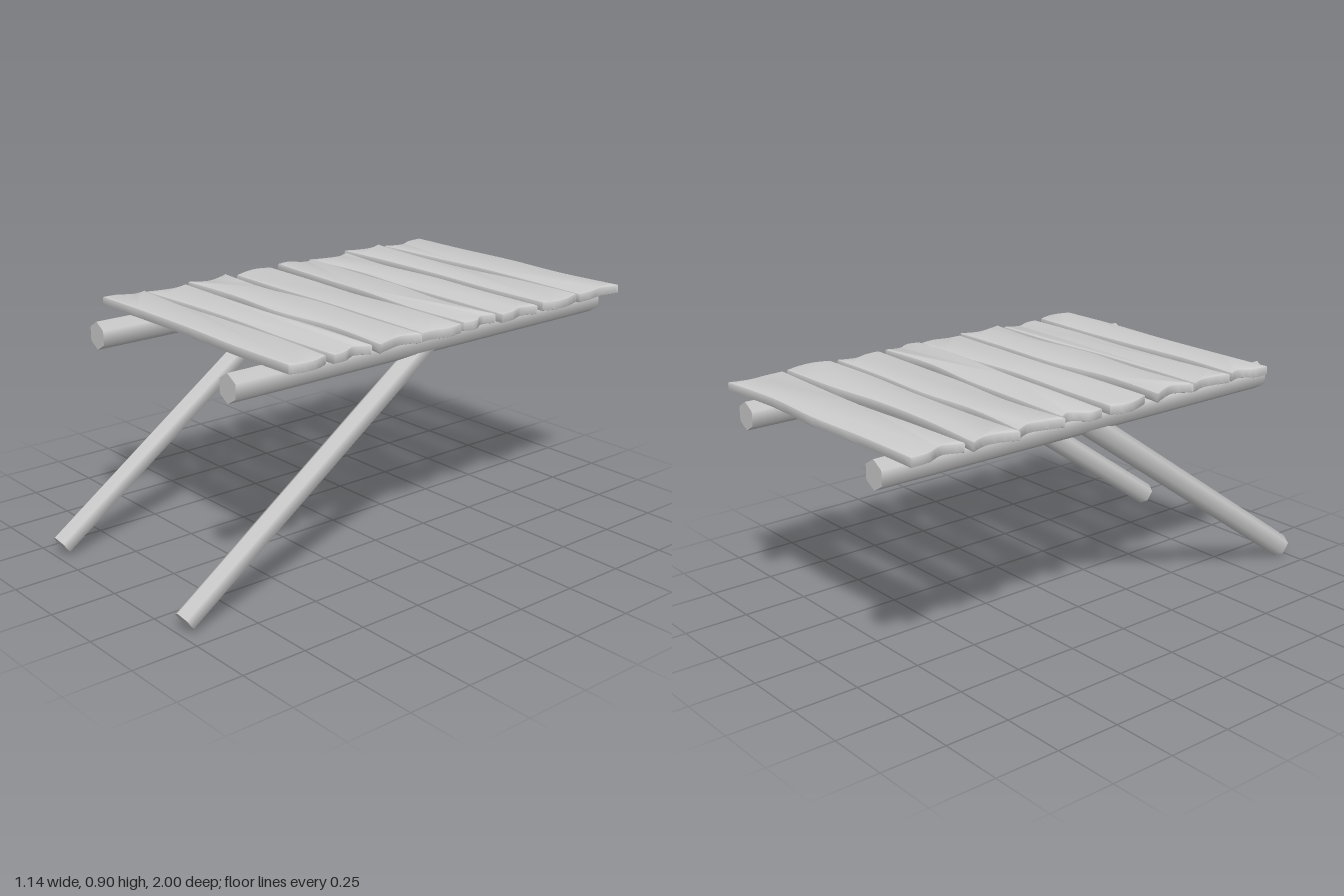
import * as THREE from 'three';
import { toCreasedNormals } from 'three/addons/utils/BufferGeometryUtils.js';

const material = new THREE.MeshStandardMaterial({ color: 0xcccccc });

// Outline of each plank: z along its back and front edges at five stations,
// and x down its left-hand and right-hand ragged ends (back to front).
const planks = [
  { back: [-0.96, -0.96, -0.97, -0.96, -0.98], front: [-0.745, -0.755, -0.77, -0.765, -0.755], low: [-0.55, -0.545, -0.515, -0.54], high: [0.545, 0.53, 0.54, 0.545] },
  { back: [-0.73, -0.71, -0.71, -0.735, -0.74], front: [-0.545, -0.555, -0.555, -0.545, -0.55], low: [-0.565, -0.54, -0.545, -0.57], high: [0.54, 0.56, 0.565, 0.545] },
  { back: [-0.535, -0.51, -0.525, -0.515, -0.515], front: [-0.335, -0.355, -0.335, -0.33, -0.325], low: [-0.55, -0.52, -0.53, -0.55], high: [0.55, 0.53, 0.55, 0.555] },
  { back: [-0.34, -0.33, -0.32, -0.29, -0.3], front: [-0.18, -0.165, -0.155, -0.13, -0.135], low: [-0.54, -0.52, -0.565, -0.56], high: [0.545, 0.53, 0.56, 0.55] },
  { back: [-0.13, -0.125, -0.115, -0.13, -0.125], front: [0.05, 0.055, 0.05, 0.055, 0.06], low: [-0.545, -0.565, -0.555, -0.53], high: [0.55, 0.56, 0.545, 0.545] },
  { back: [0.085, 0.1, 0.07, 0.075, 0.075], front: [0.27, 0.26, 0.275, 0.25, 0.27], low: [-0.56, -0.53, -0.515, -0.55], high: [0.56, 0.535, 0.545, 0.565] },
  { back: [0.29, 0.295, 0.295, 0.28, 0.285], front: [0.47, 0.455, 0.45, 0.46, 0.455], low: [-0.54, -0.52, -0.525, -0.54], high: [0.54, 0.515, 0.54, 0.545] },
  { back: [0.475, 0.49, 0.48, 0.475, 0.485], front: [0.645, 0.64, 0.64, 0.65, 0.645], low: [-0.545, -0.53, -0.56, -0.565], high: [0.54, 0.56, 0.56, 0.545] },
];

// Wavy plank with softened edges, lying flat
function plankGeometry({ back, front, low, high }) {
  const station = (zs, i) => new THREE.Vector2(
    THREE.MathUtils.lerp(zs === back ? low[0] : low[3], zs === back ? high[0] : high[3], i / 4), -zs[i]);
  const endPoint = (xs, side, i) => new THREE.Vector2(
    xs[i], -THREE.MathUtils.lerp(back[side], front[side], i / 3));

  const shape = new THREE.Shape();
  const start = station(front, 0);
  shape.moveTo(start.x, start.y);
  shape.splineThru([1, 2, 3, 4].map((i) => station(front, i)));
  shape.splineThru([2, 1, 0].map((i) => endPoint(high, 4, i)));
  shape.splineThru([3, 2, 1, 0].map((i) => station(back, i)));
  shape.splineThru([1, 2, 3].map((i) => endPoint(low, 0, i)));

  const bevel = 0.006;
  const geometry = new THREE.ExtrudeGeometry(shape, {
    depth: 0.024, bevelThickness: bevel, bevelSize: bevel, bevelOffset: -bevel,
    bevelSegments: 2, curveSegments: 4,
  });
  geometry.translate(0, 0, bevel);
  geometry.rotateX(-Math.PI / 2);
  return toCreasedNormals(geometry, 0.7);
}

// Six-sided pole between two [y, z] points, ridge upwards
function pole(name, x, from, to, radius, halfWidth) {
  const dy = to[0] - from[0];
  const dz = to[1] - from[1];
  const geometry = new THREE.CylinderGeometry(radius, radius, Math.hypot(dy, dz), 6);
  geometry.scale(halfWidth / (radius * Math.cos(Math.PI / 6)), 1, 1);
  geometry.rotateX(Math.atan2(dz, dy));
  const mesh = new THREE.Mesh(geometry, material);
  mesh.name = name;
  mesh.position.set(x, (from[0] + to[0]) / 2, (from[1] + to[1]) / 2);
  return mesh;
}

export function createModel() {
  const model = new THREE.Group();
  model.name = 'plankPlatform';

  // Long beams with a slanting brace under each
  for (const [side, x] of [['left', 0.393], ['right', -0.402]]) {
    model.add(pole(side + 'Beam', x, [0.807, -1], [0.807, 0.775], 0.053, 0.043));
    model.add(pole(side + 'Brace', x, [0.038, 0.974], [0.795, -0.107], 0.046, 0.034));
  }

  // Deck planks, alternately raised a little
  const deck = new THREE.Group();
  deck.name = 'deck';
  planks.forEach((plank, i) => {
    const mesh = new THREE.Mesh(plankGeometry(plank), material);
    mesh.name = 'plank' + (i + 1);
    mesh.position.y = i % 2 ? 0.863 : 0.859;
    deck.add(mesh);
  });
  model.add(deck);
  return model;
}
